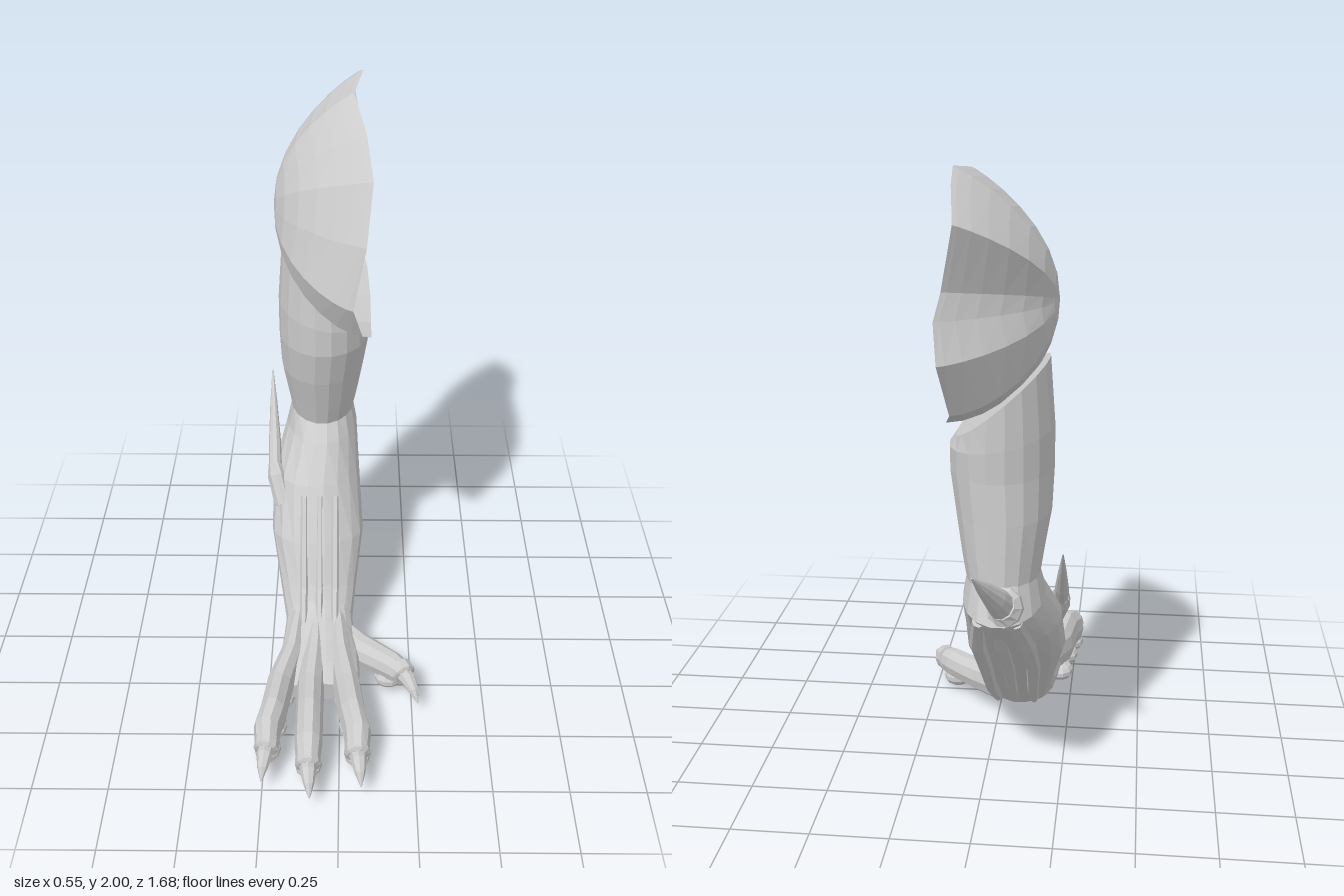
import * as THREE from 'three';

const mat = new THREE.MeshStandardMaterial({ color: 0xcccccc, flatShading: true });
const shellMat = new THREE.MeshStandardMaterial({ color: 0xcccccc, flatShading: true, side: THREE.DoubleSide });
const V = (x, y, z) => new THREE.Vector3(x, y, z);

// Skin a list of closed rings; optionally close both ends with a fan
function loft(name, rings, material = mat, capped = true) {
  const n = rings[0].length, pos = [], idx = [];
  rings.forEach(r => r.forEach(p => pos.push(p.x, p.y, p.z)));
  for (let i = 0; i < rings.length - 1; i++)
    for (let j = 0; j < n; j++) {
      const a = i * n + j, b = i * n + (j + 1) % n;
      idx.push(a, b, a + n, b, b + n, a + n);
    }
  if (capped) {
    const last = (rings.length - 1) * n;
    for (let j = 1; j < n - 1; j++) idx.push(0, j + 1, j, last, last + j, last + j + 1);
  }
  const g = new THREE.BufferGeometry();
  g.setAttribute('position', new THREE.Float32BufferAttribute(pos, 3));
  g.setIndex(idx);
  g.computeVertexNormals();
  const m = new THREE.Mesh(g, material);
  m.name = name;
  return m;
}

// Limb section: front y,z  back y,z  x range  tilt of the ring toward +x
function limb(name, sections, n = 18) {
  return loft(name, sections.map(([fy, fz, by, bz, x0, x1, tilt = 0]) =>
    Array.from({ length: n }, (_, j) => {
      const t = j / n * Math.PI * 2, c = Math.cos(t), s = Math.sin(t);
      return V((x0 + x1) / 2 + c * (x1 - x0) / 2,
        (fy + by) / 2 + s * (fy - by) / 2 - c * tilt,
        (fz + bz) / 2 + s * (fz - bz) / 2);
    })));
}

// Tapering tube through points [x, y, z, half width, half height]
function taper(name, pts, n = 10) {
  const P = pts.map(p => V(p[0], p[1], p[2]));
  return loft(name, pts.map((p, i) => {
    const d = P[Math.min(i + 1, P.length - 1)].clone().sub(P[Math.max(i - 1, 0)]).normalize();
    const s = V(0, 1, 0).cross(d).normalize(), u = d.clone().cross(s);
    return Array.from({ length: n }, (_, j) => {
      const t = j / n * Math.PI * 2;
      return P[i].clone().addScaledVector(s, Math.cos(t) * p[3]).addScaledVector(u, Math.sin(t) * p[4]);
    });
  }));
}

function pad(x, y, z, rx, ry, rz) {
  const m = new THREE.Mesh(new THREE.SphereGeometry(1, 10, 7), mat);
  m.name = 'pad';
  m.position.set(x, y, z);
  m.scale.set(rx, ry, rz);
  return m;
}

// Open shoulder cup: rings shrink from the ragged rim to the outermost point
function shoulder() {
  const rim = [
    [.07, 2, -.48], [.04, 1.98, -.3], [.08, 1.9, -.13], [.1, 1.8, 0], [.08, 1.62, .09], [.04, 1.42, .12],
    [.07, 1.3, .06], [.1, 1.255, -.02], [.1, 1.235, -.16], [.1, 1.245, -.35], [.09, 1.27, -.54],
    [.07, 1.31, -.61], [.09, 1.48, -.72], [.1, 1.6, -.7], [.08, 1.68, -.68], [.04, 1.87, -.73], [.06, 1.96, -.6]];
  const C = V(-.225, 1.6, -.32), rings = [];
  for (let k = 0; k <= 8; k++) {
    const s = Math.sin(k / 8 * Math.PI / 2);
    rings.push(rim.map(([x, y, z]) => {
      const dy = y - C.y, dz = z - C.z;
      const power = .9 - .4 * Math.max(0, -dy / Math.hypot(dy, dz));
      return V(x - (x - C.x) * Math.pow(Math.max(0, 1 - s * s), power), C.y + dy * s, C.z + dz * s);
    }));
  }
  return loft('shoulder', rings, shellMat, false);
}

// Digit with a knuckled tube, a cuff at the tip and a hooked claw
function digit(name, path, tip, r = .035) {
  const g = new THREE.Group();
  g.name = name;
  g.add(taper('digit', path));
  const e = path[path.length - 1];
  const a = V(e[0], e[1], e[2]), b = V(...tip), d = b.clone().sub(a);
  const at = (f, lift, w) => [a.x + d.x * f, a.y + d.y * f + lift, a.z + d.z * f, w, w * 1.1];
  g.add(taper('cuff', [at(-.25, 0, r * 1.12), at(.06, .004, r * 1.2), at(.1, .004, r * .9)]));
  g.add(taper('claw', [at(0, 0, r * .85), at(.35, .018, r * .75), at(.7, .016, r * .5), at(1, 0, .002)], 8));
  return g;
}

export function createModel() {
  const model = new THREE.Group();
  model.add(shoulder());

  model.add(limb('upperArm', [
    [1.32, -.17, 1.32, -.6, -.205, .08, .12],
    [1.2, -.16, 1.2, -.6, -.22, .1, .03],
    [1.1, -.165, 1.1, -.595, -.22, .1],
    [.97, -.2, .97, -.6, -.215, .08],
    [.85, -.24, .85, -.605, -.195, .06],
    [.76, -.27, .74, -.61, -.18, .04]]));

  model.add(limb('forearm', [
    [.775, -.27, .8, -.6, -.18, .04],
    [.72, -.21, .68, -.665, -.2, .055],
    [.6, -.11, .55, -.51, -.245, .065],
    [.43, 0, .38, -.3, -.25, .08],
    [.3, .07, .2, -.09, -.215, .055],
    [.23, .12, .05, .07, -.19, .04]]));

  model.add(limb('hand', [
    [.26, .1, .1, .02, -.19, .04],
    [.225, .15, .03, .11, -.2, .05],
    [.2, .24, .025, .22, -.21, .065],
    [.18, .33, .03, .31, -.215, .07],
    [.14, .4, .06, .39, -.2, .05]]));

  // Three forward fingers: root x, middle x, tip x, tip z, claw tip x
  [[-.15, -.205, -.237, .66, -.25], [-.085, -.1, -.1, .73, -.093], [-.01, .025, .06, .68, .072]]
    .forEach(([x0, x1, x2, z, xc], i) => {
      model.add(digit('finger' + (i + 1), [
        [x0, .19, .1, .025, .04], [x0 * .7 + x1 * .3, .145, .25, .04, .065],
        [x1, .125, .4, .047, .075], [(x1 + x2) / 2, .125, .53, .046, .078],
        [x2, .115, z - .07, .046, .07], [x2, .1, z, .038, .05]], [xc, .06, z + .11]));
      model.add(pad(x2, .05, z - .05, .045, .035, .06));
      model.add(pad((x1 + x2) / 2, .045, .5, .045, .035, .065));
      model.add(pad(x1, .045, .36, .05, .035, .06));
    });
  model.add(pad(-.07, .05, .22, .12, .05, .11));

  // Thumb on the inner side
  model.add(digit('thumb', [
    [0, .11, .1, .05, .06], [.07, .1, .175, .055, .06], [.13, .1, .22, .05, .055],
    [.185, .1, .265, .045, .055], [.22, .1, .3, .038, .045]], [.27, .055, .4]));
  model.add(pad(.17, .05, .26, .05, .035, .045));

  // Tendon ridges along the back of the forearm
  [-.15, -.07, .01].forEach(x => model.add(taper('tendon', [
    [x * .7 - .02, .68, -.62, .02, .02], [x, .53, -.46, .025, .03],
    [x, .37, -.265, .025, .03], [x * .9, .18, -.06, .02, .025], [x * .8 - .01, .08, .06, .015, .02]], 8)));
  // Slim tendons over the front
  [-.13, -.075, -.02].forEach(x => model.add(taper('frontTendon', [
    [x, .57, -.1, .012, .012], [x, .42, -.008, .014, .015], [x, .29, .07, .014, .015], [x, .2, .16, .012, .015]], 6)));

  // Elbow spike with its socket
  model.add(taper('elbowSocket', [[-.09, .7, -.56, .06, .07], [-.09, .735, -.635, .055, .06], [-.085, .745, -.65, .04, .042]]));
  model.add(taper('elbowSpike', [
    [-.09, .72, -.61, .044, .05], [-.07, .79, -.7, .034, .036], [-.045, .85, -.77, .02, .022], [-.02, .91, -.84, .002, .002]]));
  // Side spike rising from the outer forearm
  model.add(taper('sideSocket', [[-.21, .5, -.15, .03, .04], [-.235, .585, -.21, .032, .045], [-.24, .615, -.24, .025, .035]]));
  model.add(taper('sideSpike', [
    [-.238, .58, -.2, .025, .035], [-.243, .67, -.31, .022, .03], [-.25, .77, -.42, .013, .018], [-.256, .86, -.51, .002, .002]]));
  return model;
}
